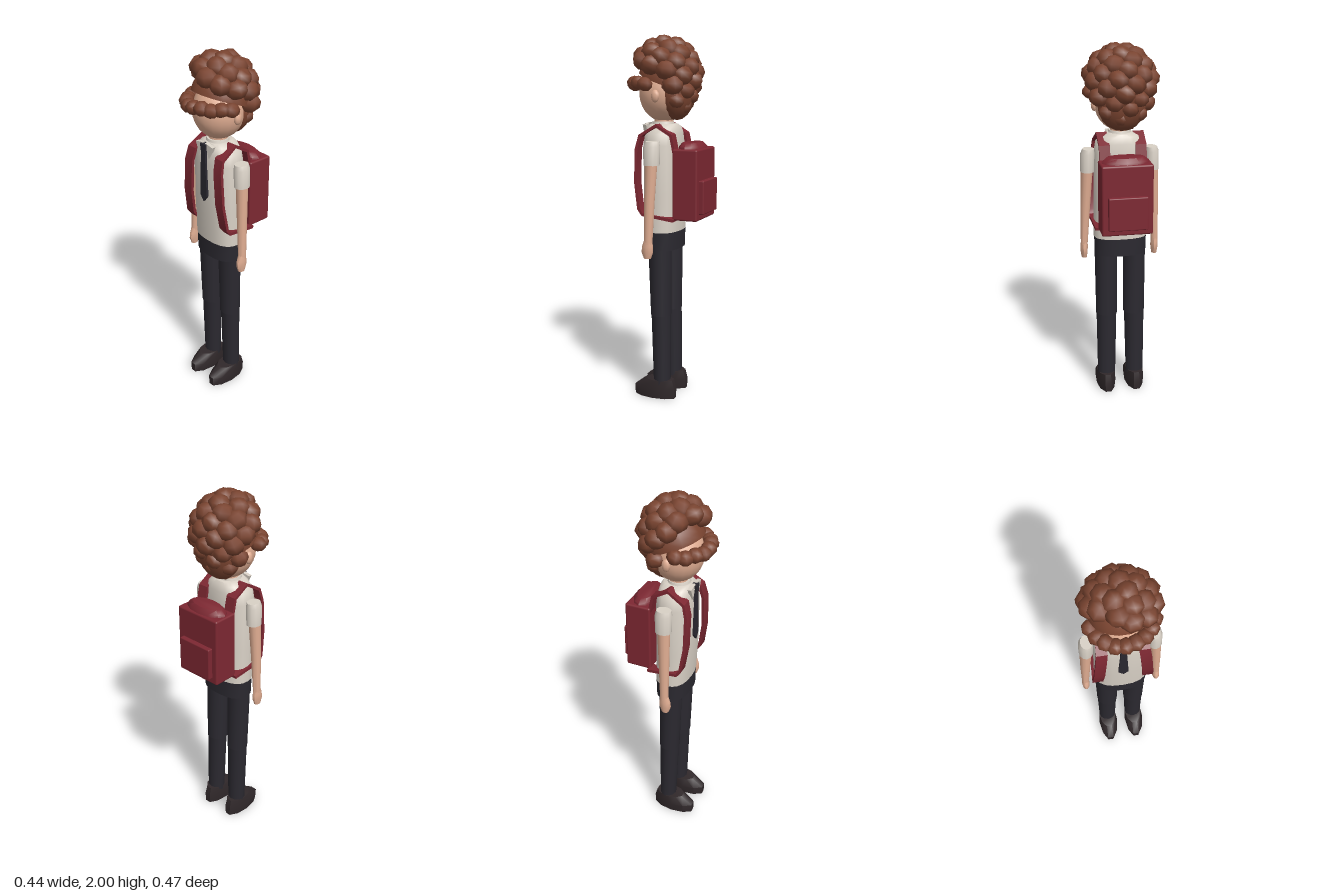
import * as THREE from 'three';
import { toCreasedNormals } from 'three/addons/utils/BufferGeometryUtils.js';
import { RoundedBoxGeometry } from 'three/addons/geometries/RoundedBoxGeometry.js';

const mat = (color) => new THREE.MeshStandardMaterial({ color });
const skin = mat(0xe0ad92), hair = mat(0x7a4430), shirt = mat(0xd9d1c6), trouser = mat(0x2b2930);
const shoeMat = mat(0x30282a), red = mat(0x7d2832), tieMat = mat(0x2a2830);

// Skin a closed surface over rings that all have the same number of points
function loft(rings, crease = 0.8) {
  const n = rings[0].length, pos = [], idx = [];
  rings.forEach((r) => r.forEach((p) => pos.push(p.x, p.y, p.z)));
  for (let i = 0; i < rings.length - 1; i++) {
    for (let j = 0; j < n; j++) {
      const a = i * n + j, b = i * n + (j + 1) % n;
      idx.push(a, a + n, b, b, a + n, b + n);
    }
  }
  const last = (rings.length - 1) * n;
  for (let j = 1; j < n - 1; j++) {
    idx.push(0, j, j + 1, last, last + j + 1, last + j);
  }
  const g = new THREE.BufferGeometry();
  g.setAttribute('position', new THREE.Float32BufferAttribute(pos, 3));
  g.setIndex(idx);
  return toCreasedNormals(g, crease);
}

// Horizontal rings from rows of [y, radius x, radius z, centre x, centre z]
function stack(rows, sides = 12, power = 1) {
  const soft = (v) => Math.sign(v) * Math.abs(v) ** power;
  return loft(rows.map(([y, rx, rz, cx = 0, cz = 0]) => Array.from({ length: sides }, (_, j) => {
    const a = (j / sides) * Math.PI * 2;
    return new THREE.Vector3(cx + rx * soft(Math.cos(a)), y, cz + rz * soft(Math.sin(a)));
  })));
}

// Flat strap along points [x, y, z], its width lying along x
function strapGeometry(path, halfWidth, halfThick) {
  const pts = path.map((p) => new THREE.Vector3(...p)), X = new THREE.Vector3(1, 0, 0);
  return loft(pts.map((p, i) => {
    const t = pts[Math.min(i + 1, pts.length - 1)].clone().sub(pts[Math.max(i - 1, 0)]);
    const n = X.clone().cross(t).normalize();
    return [[1, 1], [-1, 1], [-1, -1], [1, -1]].map(([u, v]) =>
      p.clone().addScaledVector(X, u * halfWidth).addScaledVector(n, v * halfThick));
  }), 0.6);
}

function plate(points, depth) {
  const shape = new THREE.Shape(points.map(([x, y]) => new THREE.Vector2(x, y)));
  return new THREE.ExtrudeGeometry(shape, { depth, bevelEnabled: false });
}

export function createModel() {
  const root = new THREE.Group();
  const add = (name, geometry, material, x = 0, y = 0, z = 0, parent = root) => {
    const m = new THREE.Mesh(geometry, material);
    m.name = name;
    m.position.set(x, y, z);
    parent.add(m);
    return m;
  };

  // Torso and hips
  add('shirt', stack([
    [0.95, 0.148, 0.093, 0, 0.02], [1.15, 0.145, 0.098, 0, 0.026], [1.42, 0.143, 0.098, 0, 0.028],
    [1.48, 0.132, 0.092, 0, 0.028], [1.515, 0.1, 0.084, 0, 0.028], [1.53, 0.065, 0.075, 0, 0.03],
  ], 20, 0.8), shirt);
  add('hips', stack([[0.85, 0.143, 0.09, 0, 0.02], [0.955, 0.146, 0.092, 0, 0.02]], 20, 0.8), trouser);
  add('neck', new THREE.CylinderGeometry(0.05, 0.055, 0.12, 12), skin, 0, 1.53, 0.03);
  add('collarBand', new THREE.CylinderGeometry(0.058, 0.068, 0.035, 14), shirt, 0, 1.525, 0.035);

  // Tie with its knot
  add('tie', plate([[-0.015, 1.5], [-0.026, 1.235], [0, 1.2], [0.026, 1.235], [0.015, 1.5]], 0.014), tieMat, 0, 0, 0.122);
  add('tieKnot', plate([[-0.022, 1.53], [-0.014, 1.485], [0.014, 1.485], [0.022, 1.53]], 0.03), tieMat, 0, 0, 0.107);

  for (const s of [1, -1]) {
    const side = s > 0 ? 'left' : 'right';

    // Collar point
    const flap = [[0.008, 1.535], [0.036, 1.457], [0.066, 1.525]].map(([x, y]) => [x * s, y]);
    add(side + 'CollarPoint', plate(flap, 0.02), shirt, 0, 0, 0.108);

    // Leg: the shin sits just inside the thigh
    add(side + 'Thigh', stack([[0.48, 0.061, 0.056, 0.079 * s, 0.015], [0.87, 0.064, 0.063, 0.08 * s, 0.022]]), trouser);
    add(side + 'Shin', stack([[0.08, 0.051, 0.047, 0.083 * s, 0.007], [0.5, 0.058, 0.053, 0.08 * s, 0.015]]), trouser);
    add(side + 'Shoe', stack([
      [0, 0.052, 0.124, 0.084 * s, 0.048], [0.055, 0.059, 0.126, 0.084 * s, 0.048],
      [0.105, 0.052, 0.085, 0.084 * s, 0.022],
    ], 10), shoeMat);

    // Arm: sleeve, forearm and mitten hand
    add(side + 'Sleeve', stack([
      [1.32, 0.038, 0.045, 0.179 * s, 0.025], [1.42, 0.039, 0.046, 0.176 * s, 0.025],
      [1.445, 0.032, 0.04, 0.172 * s, 0.025],
    ]), shirt);
    add(side + 'Arm', stack([
      [0.89, 0.019, 0.023, 0.2 * s, 0.037], [1.12, 0.027, 0.028, 0.191 * s, 0.033],
      [1.34, 0.033, 0.034, 0.18 * s, 0.027],
    ]), skin);
    add(side + 'Hand', stack([
      [0.82, 0.015, 0.02, 0.2 * s, 0.042], [0.855, 0.02, 0.033, 0.2 * s, 0.042],
      [0.885, 0.021, 0.031, 0.2 * s, 0.041], [0.925, 0.018, 0.022, 0.199 * s, 0.037],
    ], 10), skin);

    // Backpack strap: under the arm, up the chest and over the shoulder
    add(side + 'Strap', strapGeometry([
      [0.125 * s, 1.025, -0.085], [0.136 * s, 1.05, 0.09], [0.136 * s, 1.08, 0.11], [0.127 * s, 1.22, 0.131],
      [0.115 * s, 1.4, 0.132], [0.107 * s, 1.47, 0.115], [0.1 * s, 1.525, 0.025],
      [0.098 * s, 1.475, -0.06], [0.098 * s, 1.37, -0.083],
    ], 0.029, 0.008), red);

    add(side + 'Ear', new THREE.SphereGeometry(1, 8, 6), skin, 0.137 * s, 1.68, 0.022).scale.set(0.018, 0.034, 0.024);
  }

  // Backpack
  const pack = new THREE.Group();
  pack.name = 'backpack';
  root.add(pack);
  add('bag', new RoundedBoxGeometry(0.274, 0.38, 0.142, 2, 0.01), red, 0, 1.215, -0.144, pack);
  add('bagLid', stack([
    [1.39, 0.13, 0.069, 0, -0.142], [1.415, 0.125, 0.065, 0, -0.14], [1.435, 0.1, 0.048, 0, -0.138],
  ], 12), red, 0, 0, 0, pack);
  add('bagPocket', new RoundedBoxGeometry(0.21, 0.18, 0.05, 2, 0.006), red, 0, 1.15, -0.216, pack);

  // Head
  add('head', new THREE.SphereGeometry(1, 20, 14), skin, 0, 1.69, 0.025).scale.set(0.137, 0.15, 0.14);

  // Hair: a tilted cap covered in faceted curls
  const hairGroup = new THREE.Group();
  hairGroup.name = 'hair';
  root.add(hairGroup);
  const cap = add('hairCap', new THREE.SphereGeometry(0.16, 18, 8, 0, Math.PI * 2, 0, Math.PI / 2),
    hair, 0, 1.75, 0.012, hairGroup);
  cap.rotation.x = -0.35;
  cap.scale.set(1, 1.1, 1);
  hair.side = THREE.DoubleSide;
  add('hairBack', new THREE.SphereGeometry(1, 14, 10), hair, 0, 1.69, -0.045, hairGroup).scale.set(0.13, 0.14, 0.09);

  const curlShape = new THREE.SphereGeometry(1, 7, 5);
  const curl = (x, y, z, r, turn) => {
    const c = add('curl', curlShape, hair, x, y, z, hairGroup);
    c.scale.set(r, r * 0.88, r);
    c.rotation.set(Math.sin(turn * 3) * 0.25, turn, Math.cos(turn * 5) * 0.25);
  };
  const count = 66;
  for (let i = 0; i < count; i++) {
    const v = 1 - (2 * (i + 0.5)) / count, ring = Math.sqrt(1 - v * v), a = i * 2.39996;
    const x = 0.155 * ring * Math.cos(a), z = 0.02 + 0.153 * ring * Math.sin(a);
    const y = 1.78 + v * (v > 0 ? 0.17 : 0.205);
    // Leave the face and ears clear
    if (z > -0.035 ? y > 1.765 + 0.9 * Math.max(z, 0) : y > 1.575) curl(x, y, z, v > -0.2 ? 0.06 : 0.05, a);
  }

  // Fringe across the brow
  for (let i = -4; i <= 4; i++) {
    const a = i * 0.31;
    curl(0.16 * Math.sin(a), 1.742 + 0.006 * (i % 2), 0.02 + 0.17 * Math.cos(a), 0.043, i);
  }
  return root;
}
